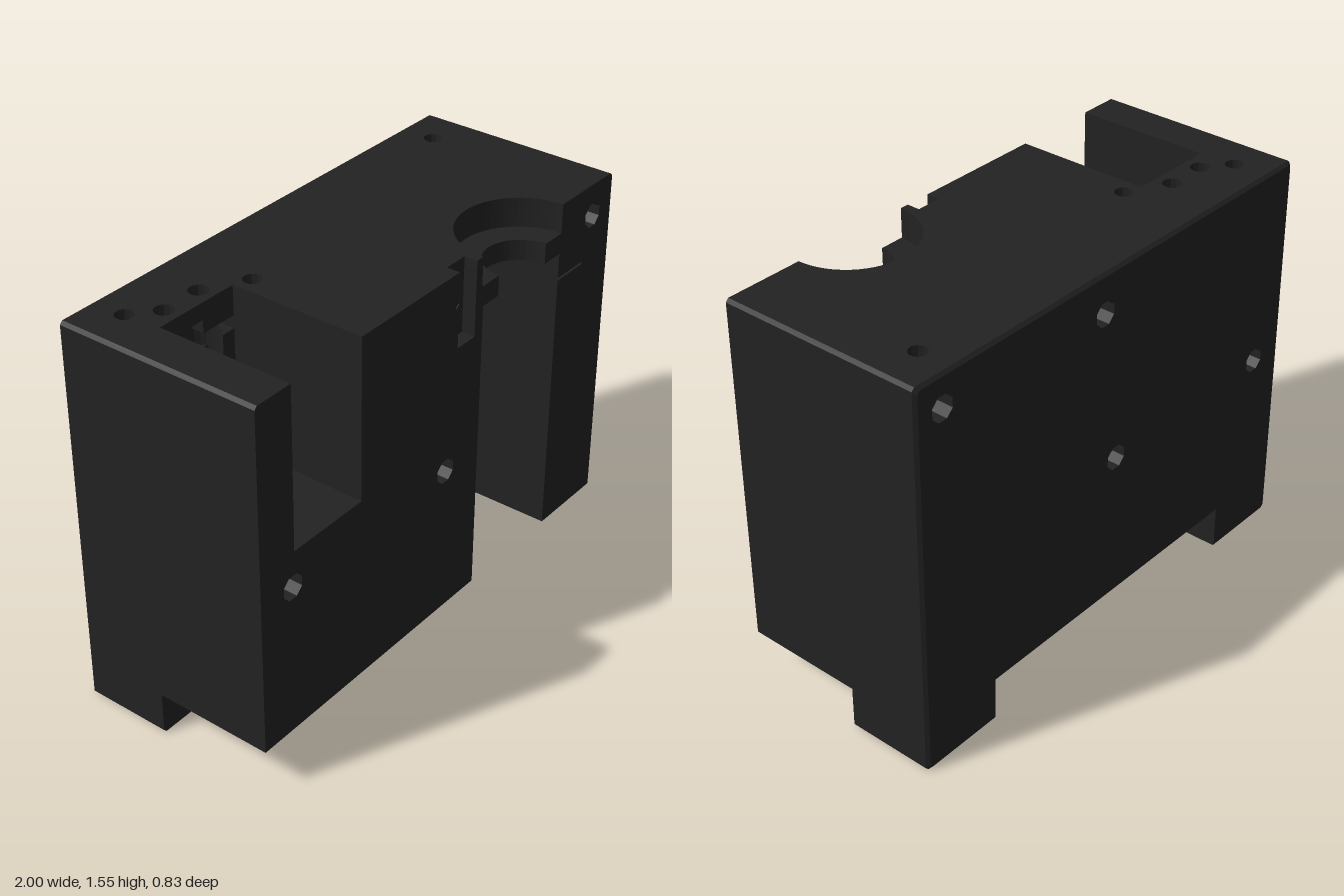
import * as THREE from 'three';

const H = 1.555, Z = 0.413, C = 0.012;        // height, half depth, edge bevel
const UNDER = 0.175, FOOT_Z = -0.06;          // underside height, front of the feet
const ZB = -Z + C;                            // where the rear bevel begins

// points on an arc, and on a full circle
function arc(cx, cy, r, a0, a1, n) {
  return Array.from({ length: n + 1 }, (_, i) => {
    const a = a0 + (a1 - a0) * i / n;
    return [cx + r * Math.cos(a), cy + r * Math.sin(a)];
  });
}
const circle = (cx, cy, r, n) => arc(cx, cy, r, Math.PI / n, Math.PI / n + 2 * Math.PI, n);
const rect = (x0, y0, x1, y1) => [[x0, y0], [x1, y0], [x1, y1], [x0, y1]];

export function createModel() {
  const group = new THREE.Group();
  const mat = new THREE.MeshStandardMaterial({ color: 0x222222, side: THREE.DoubleSide, flatShading: true });

  function add(name, geo) {
    const m = new THREE.Mesh(geo, mat);
    m.name = name;
    group.add(m);
  }

  // flat panel with holes, lying across the given axis at a position
  const place = {
    x: (u, v, p) => [p, v, u],   // u = z, v = y
    y: (u, v, p) => [u, p, v],   // u = x, v = z
    z: (u, v, p) => [u, v, p],   // u = x, v = y
  };
  function panel(name, axis, at, outline, holes = []) {
    const toV = (pts) => pts.map(([a, b]) => new THREE.Vector2(a, b));
    const shape = new THREE.Shape(toV(outline));
    holes.forEach((h) => shape.holes.push(new THREE.Path(toV(h))));
    const geo = new THREE.ShapeGeometry(shape);
    const pos = geo.attributes.position;
    for (let i = 0; i < pos.count; i++) {
      pos.setXYZ(i, ...place[axis](pos.getX(i), pos.getY(i), at));
    }
    geo.computeVertexNormals();
    add(name, geo);
  }

  // ruled surface between two rows of points
  function strip(name, a, b) {
    const v = [];
    for (let i = 0; i + 1 < a.length; i++) {
      v.push(...a[i], ...b[i], ...b[i + 1], ...a[i], ...b[i + 1], ...a[i + 1]);
    }
    const geo = new THREE.BufferGeometry();
    geo.setAttribute('position', new THREE.Float32BufferAttribute(v, 3));
    geo.computeVertexNormals();
    add(name, geo);
  }
  const sweep = (name, axis, path, p0, p1) => strip(name,
    path.map(([u, v]) => place[axis](u, v, p0)), path.map(([u, v]) => place[axis](u, v, p1)));

  // ---- hole layout
  const bolts = [[-0.84, 0.78], [0, 0.78], [0.08, 1.4], [0.88, 1.43]];
  const bolt = bolts.map(([x, y]) => circle(x, y, 0.05, 8));
  const pins = [[-0.84, -0.27], [0.83, -0.27], [-0.41, -0.1]];
  const pin = pins.map(([x, z]) => circle(x, z, 0.035, 12));
  const rodX = [-0.74, -0.575], rodZ = -0.19, rodR = 0.075;
  const rodTop = rodX.map((x) => circle(x, rodZ, 0.037, 12));
  const rod = rodX.map((x) => circle(x, rodZ, rodR, 20));
  const open = Math.acos(0.065 / rodR);       // half angle where a rod bore breaks into the pocket
  const up = Math.PI / 2;

  // ---- back face with bevelled rim
  const outline = [[-1 + C, H], [1 - C, H], [1, H - C], [1, C], [1 - C, 0], [0.66, 0], [0.66, UNDER],
    [-0.66, UNDER], [-0.66, 0], [-1 + C, 0], [-1, C], [-1, H - C]];
  const inset = outline.map(([x, y]) => [x * (1 - C), H / 2 + (y - H / 2) * (1 - 2 * C / H)]);
  panel('backFace', 'z', -Z, inset, bolt);
  const loop = (pts, z) => [...pts, pts[0]].map(([x, y]) => [x, y, z]);
  strip('backBevel', loop(inset, -Z), loop(outline, ZB));

  // ---- sides and feet
  for (const s of [-1, 1]) {
    panel('sideWall', 'x', s, [[ZB, C], [FOOT_Z, C], [FOOT_Z, UNDER], [Z, UNDER], [Z, H - C], [ZB, H - C]]);
    sweep('topBevel', 'z', [[s * (1 - C), H], [s, H - C]], ZB, Z);
    sweep('footBevel', 'z', [[s, C], [s * (1 - C), 0]], ZB, FOOT_Z);
    sweep('footInnerWall', 'z', [[s * 0.66, 0], [s * 0.66, UNDER]], ZB, FOOT_Z);
    panel('footFront', 'z', FOOT_Z, [[s * 0.66, 0], [s * (1 - C), 0], [s, C], [s, UNDER], [s * 0.66, UNDER]]);
    panel('footSole', 'y', 0, rect(s * 0.66, ZB, s * (1 - C), FOOT_Z), s < 0 ? [pin[0], rod[0]] : [pin[1]]);
  }

  // ---- underside, cut by the channel
  panel('underside', 'y', UNDER, [[-0.66, ZB], [0.66, ZB], [0.66, FOOT_Z], [1, FOOT_Z], [1, Z], [0.67, Z],
    [0.67, 0], [0.195, 0], [0.195, Z], [-1, Z], [-1, FOOT_Z], [-0.66, FOOT_Z]], [rod[1], pin[2]]);

  // ---- top, cut by pocket, cable slot and counterbore
  const bore = arc(0.43, Z, 0.245, 0, -Math.PI, 32);
  const collar = arc(0.43, Z, 0.145, 0, -Math.PI, 24);
  panel('topFace', 'y', H, [[-1 + C, ZB], [1 - C, ZB], [1 - C, Z], ...bore, [0.15, Z], [0.15, 0.36],
    [0.05, 0.36], [0.05, Z], [-0.48, Z], [-0.48, -0.125], [-0.83, -0.125], [-0.83, Z], [-1 + C, Z]],
  [...pin, ...rodTop]);

  // ---- front face in two halves either side of the channel
  const a0 = Math.acos(-0.6);                 // the bolt hole cuts the slot's edge at this angle
  const nick = arc(0.08, 1.4, 0.05, 2 * Math.PI - a0, a0, 5);
  panel('frontLeftOfChannel', 'z', Z, [[-1, UNDER], [0.195, UNDER], [0.195, 1.36], [0.285, 1.36], [0.285, 1.44],
    [0.185, 1.44], [0.185, H], [0.15, H], [0.15, 1.26], [0.05, 1.26], ...nick, [0.05, H], [-0.48, H],
    [-0.48, 0.92], [-0.83, 0.92], [-0.83, H], [-1 + C, H], [-1, H - C]], [bolt[0], bolt[1]]);
  const slit = [[0.67, 1.26], [0.83, 1.26], [0.83, 1.25], [0.67, 1.25]];
  panel('frontRightOfChannel', 'z', Z, [[0.67, UNDER], [1, UNDER], [1, H - C], [1 - C, H], [0.675, H],
    [0.675, 1.44], [0.575, 1.44], [0.575, 1.36], [0.67, 1.36], ...slit], [bolt[3]]);
  sweep('slitWalls', 'z', slit, Z, Z - 0.1);
  panel('slitBack', 'z', Z - 0.1, slit);

  // ---- channel, collar and counterbore
  sweep('channelWalls', 'y', [[0.195, Z], [0.195, 0], [0.67, 0], [0.67, Z]], UNDER, 1.36);
  panel('channelCeiling', 'y', 1.36, [[0.67, Z], ...collar, [0.195, Z], [0.195, 0], [0.67, 0]]);
  sweep('collarWall', 'y', collar, 1.36, 1.44);
  panel('counterboreFloor', 'y', 1.44, [...bore, ...[...collar].reverse()]);
  sweep('counterboreWall', 'y', bore, 1.44, H);

  // ---- cable slot with the bolt hole through it
  panel('slotBack', 'z', 0.36, [[0.05, 1.26], [0.15, 1.26], [0.15, H], [0.05, H],
    ...arc(0.08, 1.4, 0.05, a0, -a0, 10)]);
  sweep('slotWalls', 'z', [[0.05, 1.36], [0.05, 1.26], [0.15, 1.26], [0.15, H]], 0.36, Z);
  sweep('slotUpperWall', 'z', [[0.05, 1.44], [0.05, H]], 0.36, Z);
  sweep('slotBoltNick', 'z', nick, 0.36, Z);

  // ---- pocket
  const bulge = (x) => arc(x, rodZ, rodR, up - open, up + open, 6);
  panel('pocketFloor', 'y', 0.92, [[-0.83, Z], [-0.48, Z], [-0.48, -0.125],
    ...bulge(rodX[1]), ...bulge(rodX[0]), [-0.83, -0.125]]);
  for (const x of [-0.83, -0.48]) panel('pocketSide', 'x', x, rect(-0.125, 0.92, Z, H));
  const w = rodR * Math.sin(open);
  const edges = [-0.83, rodX[0] - w, rodX[0] + w, rodX[1] - w, rodX[1] + w, -0.48];
  for (let i = 0; i < 6; i += 2) panel('pocketBack', 'z', -0.125, rect(edges[i], 0.92, edges[i + 1], 1.39));
  panel('pocketBackTop', 'z', -0.125, [[-0.83, 1.39], [-0.805, 1.39], [-0.805, 1.44], [-0.68, 1.44], [-0.68, 1.49],
    [-0.63, 1.49], [-0.63, 1.44], [-0.48, 1.44], [-0.48, H], [-0.83, H]]);

  // ---- groove across the rod bores
  const G = -0.27;
  const major = (x) => arc(x, rodZ, rodR, up - open, up + open - 2 * Math.PI, 20);
  panel('grooveFloor', 'y', 1.39, [[-0.805, G], [-0.48, G], [-0.48, -0.125],
    ...major(rodX[1]), ...major(rodX[0]), [-0.805, -0.125]]);
  panel('grooveCeiling', 'y', 1.44, rect(-0.805, G, -0.68, -0.125), [rodTop[0]]);
  panel('grooveCeiling', 'y', 1.44, rect(-0.63, G, -0.48, -0.125), [rodTop[1]]);
  const notch = [[-0.68, 1.44], [-0.68, 1.49], [-0.63, 1.49], [-0.63, 1.44]];
  sweep('grooveNotch', 'z', notch, G, -0.125);
  panel('grooveBack', 'z', G, [[-0.805, 1.39], [-0.805, 1.44], ...notch, [-0.48, 1.44], [-0.48, 1.39]]);
  for (const x of [-0.805, -0.48]) panel('grooveEnd', 'x', x, rect(G, 1.39, -0.125, 1.44));

  // ---- rod bores: narrow at the top, wide below, open to the pocket
  rodX.forEach((x, i) => {
    sweep('rodBoreTop', 'y', rodTop[i], 1.44, H);
    sweep('rodBoreOpen', 'y', major(x), 0.92, 1.39);
    sweep('rodBoreWide', 'y', rod[i], i ? UNDER : 0, 0.92);
  });

  // ---- bolt and pin holes, interrupted where they cross each other
  bolt.forEach((c, i) => {
    const crossed = i === 0 || i === 3, front = i === 2 ? 0.36 : Z;
    sweep('boltHole', 'z', c, -Z, crossed ? -0.305 : front);
    if (crossed) sweep('boltHole', 'z', c, -0.235, front);
  });
  pin.forEach((c, i) => {
    const y = [0.78, 1.43][i];
    sweep('pinHole', 'y', c, i < 2 ? 0 : UNDER, i < 2 ? y - 0.05 : H);
    if (i < 2) sweep('pinHole', 'y', c, y + 0.05, H);
  });

  return group;
}
